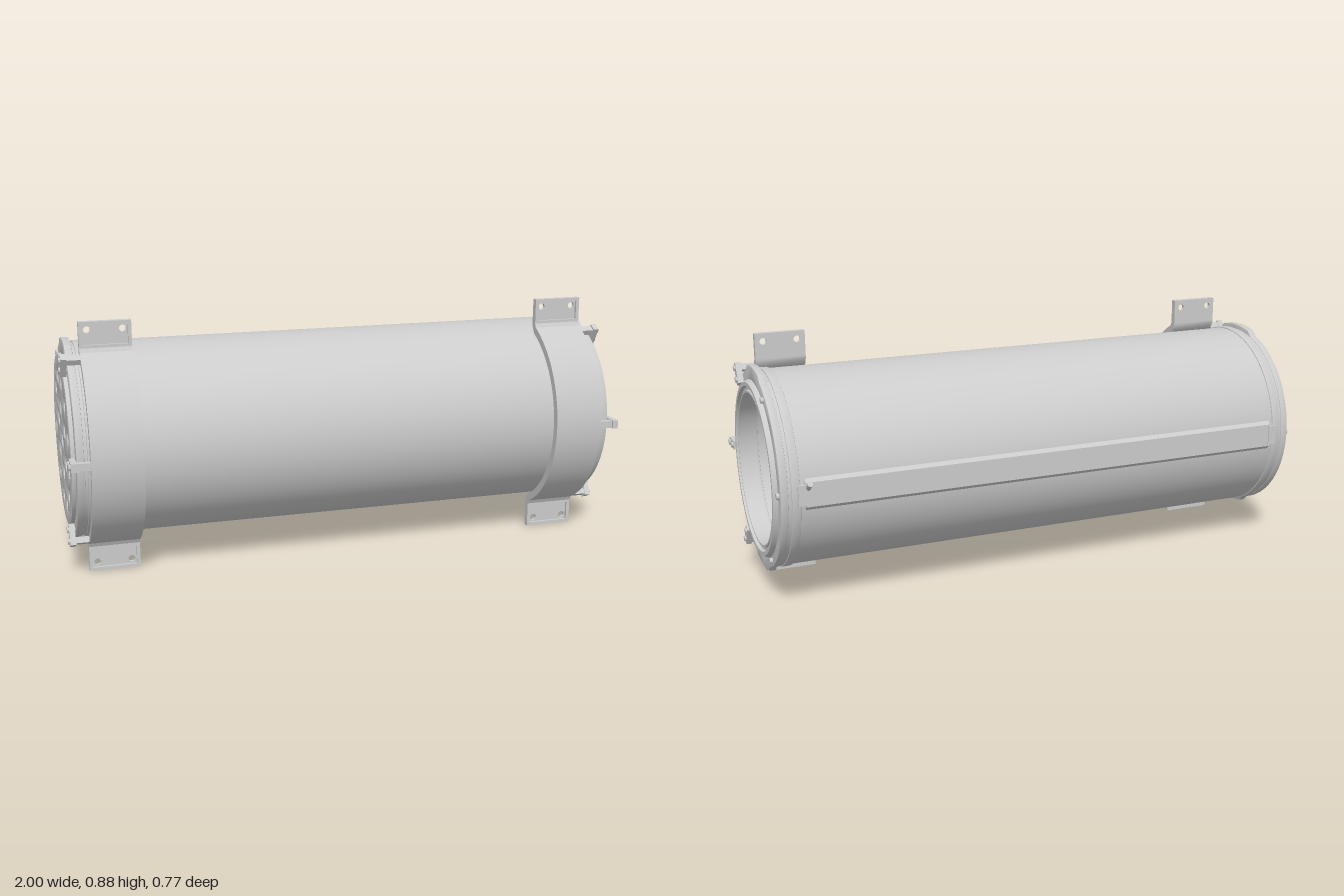
import * as THREE from 'three';
import { toCreasedNormals } from 'three/addons/utils/BufferGeometryUtils.js';

const R = 0.342, AXIS_Y = 0.443, DEG = Math.PI / 180;
const mat = new THREE.MeshStandardMaterial({ color: 0xcccccc, side: THREE.DoubleSide });

function add(parent, name, geo) {
  const m = new THREE.Mesh(geo, mat);
  m.name = name;
  parent.add(m);
  return m;
}

// shape drawn in (z, y), extruded along x from x0 to x1
function extrudeX(shape, x0, x1, bevel = 0) {
  const g = new THREE.ExtrudeGeometry(shape, {
    depth: x1 - x0 - 2 * bevel, curveSegments: 32, bevelEnabled: bevel > 0,
    bevelThickness: bevel, bevelSize: bevel, bevelOffset: -bevel, bevelSegments: 2,
  });
  g.rotateY(-Math.PI / 2).translate(x1 - bevel, 0, 0);
  return toCreasedNormals(g, 0.6);
}

// [radius, x] profile turned about the x axis
function latheX(profile) {
  const g = new THREE.LatheGeometry(profile.map(p => new THREE.Vector2(...p)), 96);
  return toCreasedNormals(g.rotateZ(-Math.PI / 2), 0.6);
}

function circle(z, y, r) {
  return new THREE.Path().absarc(z, y, r, 0, Math.PI * 2, true);
}

function disc(r) {
  return new THREE.Shape().absarc(0, 0, r, 0, Math.PI * 2, false);
}

// round flange with a raised pad at top and bottom
function flangeShape(inner) {
  const pts = [];
  for (let a = 0; a < 360; a += 2) {
    const d = Math.min(Math.abs(a - 90), Math.abs(a - 270));
    const r = 0.345 + 0.014 * THREE.MathUtils.clamp((18 - d) / 4, 0, 1);
    pts.push(new THREE.Vector2(r * Math.cos(a * DEG), r * Math.sin(a * DEG)));
  }
  const s = new THREE.Shape(pts);
  s.holes.push(circle(0, 0, inner));
  return s;
}

// curved mounting strap with bent-out ends
function strapShape() {
  const ro = 0.379, ri = 0.352, a = 63 * DEG, s = new THREE.Shape();
  s.absarc(0, 0, ro, -a, a, false);
  s.lineTo(0.165, 0.352);
  s.lineTo(0.143, 0.352);
  s.lineTo(0.143, 0.342);
  s.absarc(0, 0, ri, a, -a, true);
  s.lineTo(0.143, -0.342);
  s.lineTo(0.143, -0.352);
  s.lineTo(0.165, -0.352);
  return s;
}

function rect(w, y0, y1, Type = THREE.Shape) {
  return new Type([[-w, y0], [w, y0], [w, y1], [-w, y1]].map(p => new THREE.Vector2(...p)));
}

// flat lug with a raised rim and two screw holes
function mountingTab() {
  const tab = new THREE.Group();
  tab.name = 'mountingTab';
  const plate = rect(0.089, 0.345, 0.442);
  for (const x of [-0.06, 0.06]) plate.holes.push(circle(x, 0.413, 0.012));
  const p = new THREE.ExtrudeGeometry(plate, { depth: 0.012, bevelEnabled: false });
  add(tab, 'tabPlate', p.translate(0, 0, 0.143));
  const rim = rect(0.089, 0.345, 0.442);
  rim.holes.push(rect(0.077, 0.362, 0.43, THREE.Path));
  const r = new THREE.ExtrudeGeometry(rim, { depth: 0.01, bevelEnabled: false });
  add(tab, 'tabRim', r.translate(0, 0, 0.155));
  return tab;
}

// cylinder lying along x, at polar position (r, angle)
function bolt(parent, r, x0, x1, radius) {
  const g = new THREE.CylinderGeometry(radius, radius, x1 - x0, 20).rotateZ(-Math.PI / 2);
  return add(parent, 'bolt', g.translate((x0 + x1) / 2, 0, r));
}

// everything shared by both ends; side is +1 or -1 along x
function endFittings(side) {
  const end = new THREE.Group();
  end.name = side > 0 ? 'leftEnd' : 'rightEnd';
  const span = (a, b) => side > 0 ? [a, b] : [-b, -a];

  add(end, 'flange', extrudeX(flangeShape(0.29), ...span(0.945, 0.972), 0.004));
  const collar = disc(0.347);
  collar.holes.push(circle(0, 0, 0.3));
  add(end, 'collar', extrudeX(collar, ...span(0.905, 0.935), 0.003));

  // strap and its tabs
  const bracket = new THREE.Group();
  bracket.name = 'mountingBracket';
  add(bracket, 'strap', extrudeX(strapShape(), ...span(0.75, 0.928)));
  for (const up of [1, -1]) {
    const tab = mountingTab();
    tab.position.x = side * 0.839;
    if (up < 0) tab.rotation.z = Math.PI;
    bracket.add(tab);
  }
  end.add(bracket);

  // three clips joining flange and strap, three plain bolts at the back
  for (let i = 0; i < 6; i++) {
    const spoke = new THREE.Group();
    const clip = i < 3;
    spoke.name = clip ? 'clip' : 'flangeBolt';
    spoke.rotation.x = (i - 1) * 60 * DEG;
    if (clip) {
      add(spoke, 'clipPlate', new THREE.BoxGeometry(0.02, 0.03, 0.076).translate(side * 0.984, 0, 0.346));
      add(spoke, 'clipArm', new THREE.BoxGeometry(0.06, 0.026, 0.022).translate(side * 0.95, 0, 0.367));
      bolt(spoke, 0.367, ...span(0.92, 1), 0.01);
    }
    bolt(spoke, 0.325, ...span(0.93, clip ? 1 : 0.982), 0.01);
    end.add(spoke);
  }

  // latch block at the end of the rear seam
  add(end, 'seamLatch', new THREE.BoxGeometry(0.03, 0.07, 0.02).translate(side * 0.9, 0, -0.342));
  return end;
}

export function createModel() {
  const root = new THREE.Group();
  root.name = 'cylindricalHousing';
  const body = new THREE.Group();
  body.name = 'body';
  body.position.y = AXIS_Y;
  root.add(body);

  // hollow barrel
  add(body, 'barrel', latheX([[0.305, -0.95], [R, -0.95], [R, 0.95], [0.305, 0.95], [0.305, -0.95]]));

  // raised seam strip along the back
  const seam = new THREE.Shape([[-0.33, 0.062], [-0.349, 0.042], [-0.349, -0.042], [-0.33, -0.062]]
    .map(p => new THREE.Vector2(...p)));
  add(body, 'rearSeam', extrudeX(seam, -0.89, 0.89));

  for (const side of [1, -1]) body.add(endFittings(side));

  // stepped rim round the open end
  add(body, 'openRim', latheX([
    [0.265, 0.92], [0.31, 0.92], [0.31, 0.972], [0.302, 0.988], [0.288, 0.988], [0.285, 0.976],
    [0.274, 0.976], [0.271, 0.983], [0.265, 0.983], [0.265, 0.92],
  ]));

  // perforated plate closing the other end
  const holes = [[0, 0, 0.03]];
  for (let i = 0; i < 6; i++) holes.push([0.118, 30 + 60 * i, 0.03]);
  for (const a of [15, 45, 75, 105, 135]) holes.push([0.226, a, 0.026], [0.226, -a, 0.026]);
  holes.push([0.226, 180, 0.026]);
  const cut = (shape, list) => {
    for (const [r, a, s] of list) shape.holes.push(circle(r * Math.cos(a * DEG), r * Math.sin(a * DEG), s));
    return shape;
  };
  add(body, 'perforatedPlate', extrudeX(cut(disc(0.305), holes), -0.986, -0.962, 0.004));
  const step = cut(disc(0.304), holes.slice(7));
  step.holes.push(circle(0, 0, 0.18));
  add(body, 'plateStep', extrudeX(step, -0.962, -0.935));

  // small angled pin at the back near the open end
  const pin = add(body, 'rearPin', new THREE.CylinderGeometry(0.009, 0.009, 0.06, 16));
  pin.position.set(0.88, 0.028, -0.353);
  pin.rotation.x = -55 * DEG;

  return root;
}
